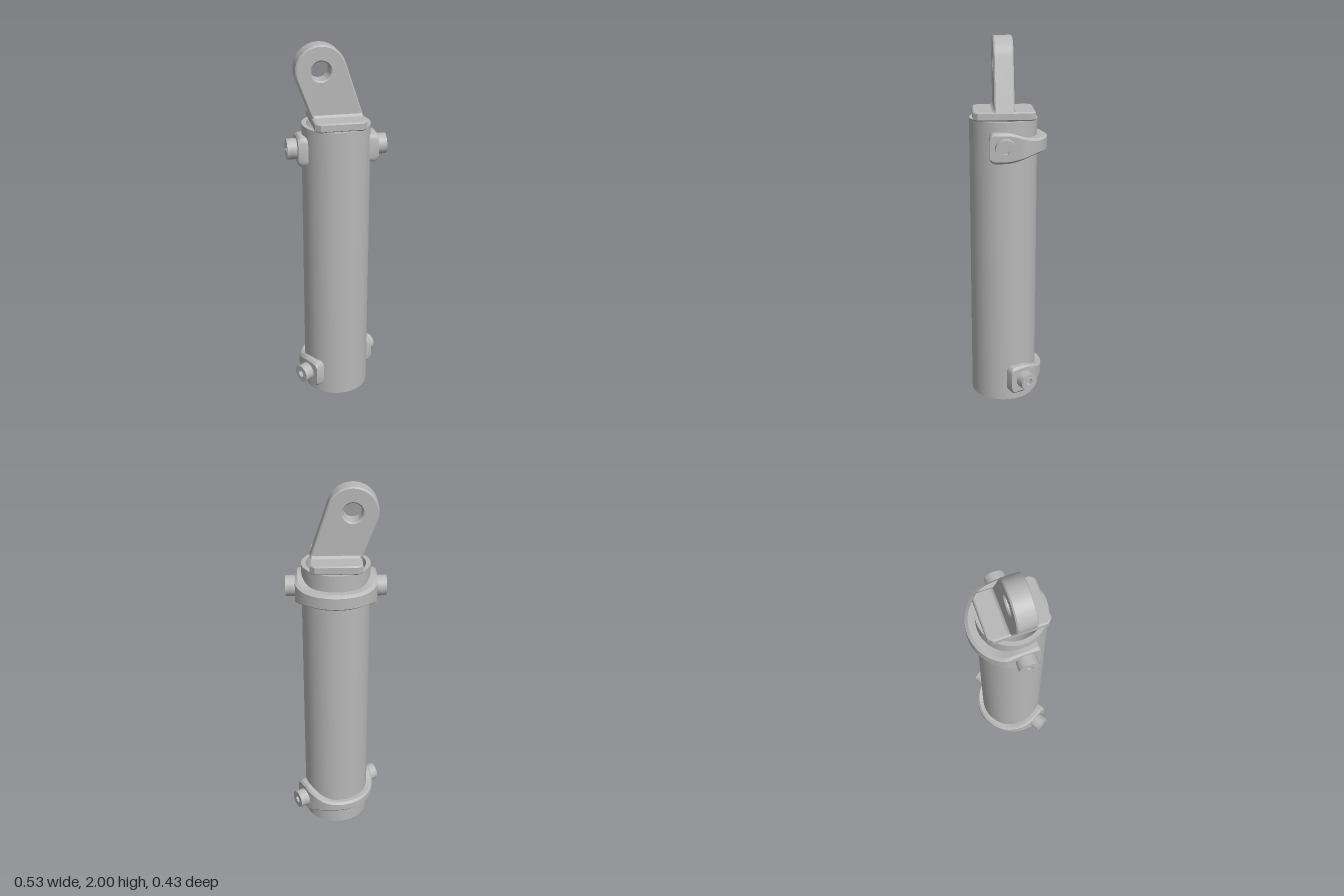
import * as THREE from 'three';
import { toCreasedNormals } from 'three/addons/utils/BufferGeometryUtils.js';

const steel = new THREE.MeshStandardMaterial({ color: 0xb8b8b8 });
steel.name = 'plain steel grey';

function part(name, geometry, crease = 0.6) {
  const mesh = new THREE.Mesh(toCreasedNormals(geometry, crease), steel);
  mesh.name = name;
  return mesh;
}

// Hollow cylinder, open at both ends
function makeTube(inner, outer, height) {
  const profile = [[inner, 0], [outer, 0], [outer, height], [inner, height], [inner, 0]];
  return part('tube', new THREE.LatheGeometry(profile.map(p => new THREE.Vector2(...p)), 64));
}

// Half-ring strap: flat pads at both ends, narrowing around the back (-z)
function makeStrap(outerR, backHalf) {
  const innerR = 0.178, padX = 0.213, padHalf = 0.08;
  const half = z => {
    const t = THREE.MathUtils.smoothstep(-z, 0.0, 0.19);
    return padHalf + (backHalf - padHalf) * t;
  };
  // Stations: inner point, outer point, half height
  const side = [[0.082, 0.05], [0.078, 0.064], [0.069, 0.075], [0.055, padHalf], [0.02, padHalf]]
    .map(([z, h]) => ({ ix: Math.sqrt(innerR ** 2 - z * z), iz: z, ox: padX, oz: z, h }));
  const stations = [...side];
  const steps = 40;
  for (let i = 0; i <= steps; i++) {
    const a = Math.PI * i / steps, c = Math.cos(a), s = Math.sin(a);
    const ox = THREE.MathUtils.clamp(outerR * c, -padX, padX);
    stations.push({ ix: innerR * c, iz: -innerR * s, ox, oz: -outerR * s, h: half(-outerR * s) });
  }
  side.reverse().forEach(p => stations.push({ ...p, ix: -p.ix, ox: -p.ox }));

  // Chamfered cross-section: fraction from inner to outer, and height inset
  const ring = [[0, 0, -1], [0.7, 0, -1], [1, 0.012, -1], [1, 0.012, 1], [0.7, 0, 1], [0, 0, 1]];
  const pos = [], index = [], n = ring.length;
  for (const p of stations) {
    for (const [f, inset, sign] of ring) {
      pos.push(p.ix + (p.ox - p.ix) * f, sign * (p.h - inset), p.iz + (p.oz - p.iz) * f);
    }
  }
  const last = (stations.length - 1) * n;
  for (let i = 0; i < last; i += n) {
    for (let j = 0; j < n; j++) {
      const k = (j + 1) % n, a = i + j, b = i + k;
      index.push(a, a + n, b + n, a, b + n, b);
    }
  }
  for (let j = 1; j < n - 1; j++) index.push(0, j, j + 1, last, last + j + 1, last + j);
  const geometry = new THREE.BufferGeometry();
  geometry.setAttribute('position', new THREE.Float32BufferAttribute(pos, 3));
  geometry.setIndex(index);
  return part('strap', geometry, 0.5);
}

// Round bolt head with a hexagonal socket, pointing along +x
function makeBolt(radius) {
  const bolt = new THREE.Group();
  bolt.name = 'bolt';
  const shape = new THREE.Shape().absarc(0, 0, radius, 0, Math.PI * 2);
  const hex = new THREE.Path();
  for (let i = 0; i < 6; i++) {
    const a = -i * Math.PI / 3;
    hex[i ? 'lineTo' : 'moveTo'](0.021 * Math.cos(a), 0.021 * Math.sin(a));
  }
  hex.closePath();
  shape.holes.push(hex);
  const rim = new THREE.ExtrudeGeometry(shape, { depth: 0.025, bevelEnabled: false, curveSegments: 10 });
  rim.rotateY(Math.PI / 2).translate(0.24, 0, 0);
  const shank = new THREE.CylinderGeometry(radius, radius, 0.045, 20);
  shank.rotateZ(-Math.PI / 2).translate(0.2175, 0, 0);
  bolt.add(part('boltRim', rim), part('boltShank', shank));
  return bolt;
}

function makeClamp(name, outerR, backHalf, boltR) {
  const clamp = new THREE.Group();
  clamp.name = name;
  clamp.add(makeStrap(outerR, backHalf));
  for (const turn of [0, Math.PI]) {
    const bolt = makeBolt(boltR);
    bolt.rotation.y = turn;
    clamp.add(bolt);
  }
  return clamp;
}

// Leaning eye lug on a chamfered base plate
function makeEnd() {
  const end = new THREE.Group();
  end.name = 'mountingEnd';

  const w = 0.135, d = 0.164, c = 0.025;
  const outline = [[-w + c, -d], [w - c, -d], [w, -d + c], [w, d - c], [w - c, d], [-w + c, d], [-w, d - c], [-w, -d + c]];
  const plateShape = new THREE.Shape(outline.map(p => new THREE.Vector2(...p)));
  const bevel = 0.007;
  const plate = new THREE.ExtrudeGeometry(plateShape, {
    depth: 0.047 - 2 * bevel, bevelThickness: bevel, bevelSize: bevel, bevelOffset: -bevel, bevelSegments: 1,
  });
  plate.rotateX(-Math.PI / 2).translate(0, 1.583 + bevel, 0);
  end.add(part('basePlate', plate));

  const eye = new THREE.Vector2(-0.085, 1.868), R = 0.132, foot = 0.135, footY = 1.625;
  const tangent = (x, sign) => {
    const dx = x - eye.x, dy = footY - eye.y;
    return Math.atan2(dy, dx) + sign * Math.acos(R / Math.hypot(dx, dy));
  };
  const lugShape = new THREE.Shape();
  lugShape.moveTo(-foot, footY);
  lugShape.lineTo(foot, footY);
  lugShape.absarc(eye.x, eye.y, R, tangent(foot, 1), tangent(-foot, -1) + Math.PI * 2, false);
  lugShape.closePath();
  lugShape.holes.push(new THREE.Path().absarc(eye.x, eye.y, 0.05, 0, Math.PI * 2, true));
  const lug = new THREE.ExtrudeGeometry(lugShape, {
    depth: 0.09, bevelThickness: 0.007, bevelSize: 0.007, bevelOffset: -0.007, bevelSegments: 1, curveSegments: 20,
  });
  lug.translate(0, 0, -0.045);
  end.add(part('eyeLug', lug, 0.5));

  // Fillets where the lug meets the plate
  const fillet = new THREE.Shape();
  fillet.moveTo(0, 0);
  fillet.lineTo(0.022, 0);
  fillet.quadraticCurveTo(0.002, 0.002, 0, 0.022);
  fillet.closePath();
  for (const turn of [0, Math.PI]) {
    const g = new THREE.ExtrudeGeometry(fillet, { depth: 0.25, bevelEnabled: false, curveSegments: 5 });
    g.translate(0, 0, -0.125).rotateY(-Math.PI / 2).translate(0, 1.629, 0.05).rotateY(turn);
    end.add(part('lugFillet', g));
  }
  return end;
}

export function createModel() {
  const model = new THREE.Group();
  model.name = 'cylinderMount';
  model.position.z = 0.02;

  model.add(makeTube(0.157, 0.181, 1.585));

  const lower = makeClamp('lowerClamp', 0.215, 0.03, 0.05);
  lower.position.y = 0.13;
  model.add(lower);

  // The upper clamp and the lug share the same turn about the tube
  const upper = new THREE.Group();
  upper.name = 'upperAssembly';
  upper.rotation.y = -Math.PI / 6;
  const upperClamp = makeClamp('upperClamp', 0.234, 0.042, 0.055);
  upperClamp.position.y = 1.455;
  upper.add(upperClamp, makeEnd());
  model.add(upper);

  const root = new THREE.Group();
  root.name = 'model';
  root.add(model);
  return root;
}
